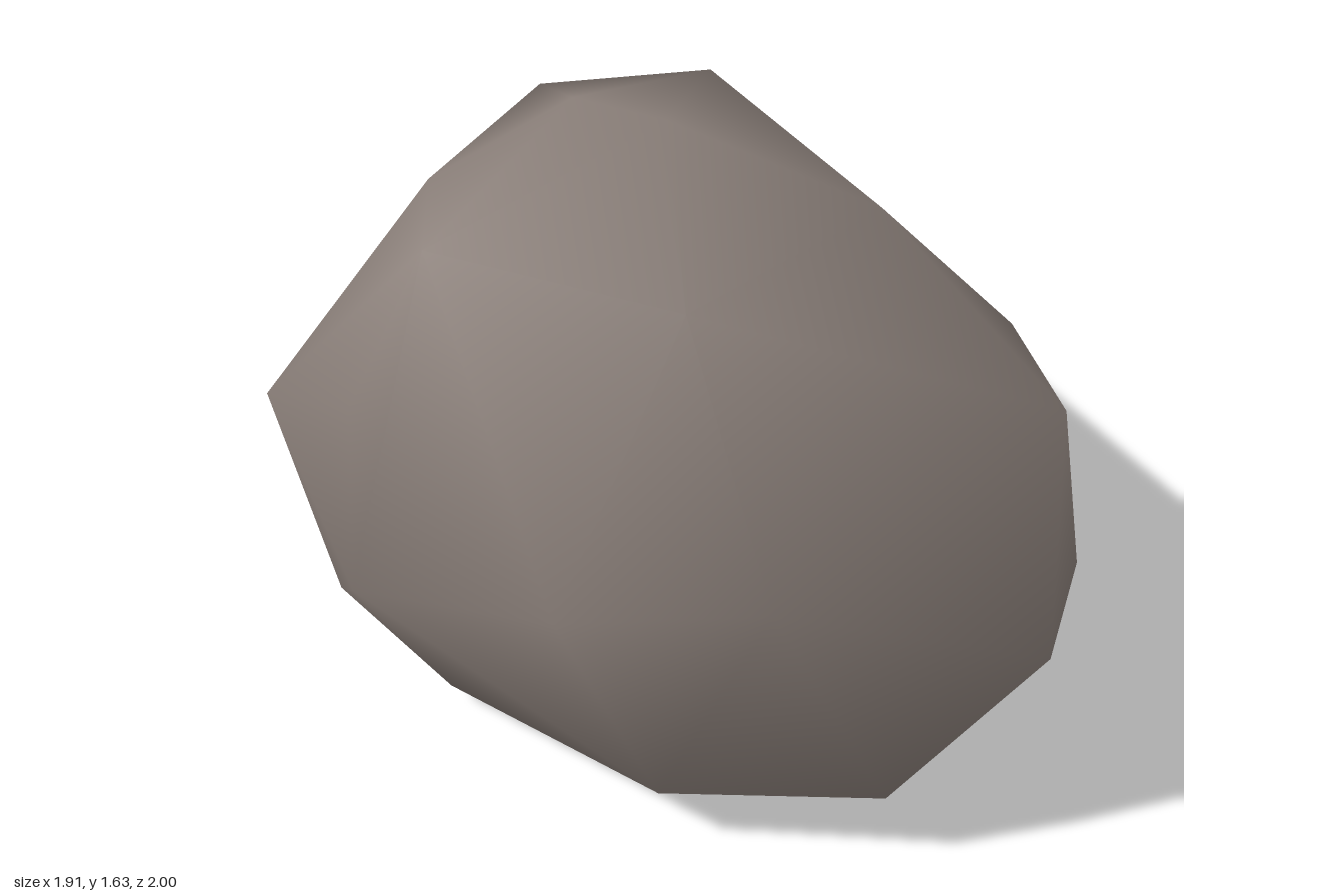
import * as THREE from 'three';
import { ConvexGeometry } from 'three/addons/geometries/ConvexGeometry.js';
import { mergeVertices } from 'three/addons/utils/BufferGeometryUtils.js';

export function createModel() {
  const group = new THREE.Group();
  group.name = 'boulder';

  const stone = new THREE.MeshStandardMaterial({ color: 0x8a7f79 });
  stone.name = 'warm grey stone';

  // corners of the boulder, grouped by height
  const crown = [
    [-0.05, 1.627, 0.13], [0.06, 1.525, 0.71], [-0.5, 1.55, 0.58],
    [0.43, 1.41, 0.09], [-0.05, 1.26, -0.78], [-0.35, 1.38, -0.38],
  ];
  const shoulder = [
    [0.86, 1.12, 0.41], [0.75, 1.075, 0.03], [0.27, 1.0, 1.0], [-0.19, 0.9, 0.97],
    [-0.96, 0.98, 0.37], [-0.555, 1.065, -1.0], [0.24, 0.81, -0.785],
    [-0.72, 1.15, -0.33], [-0.7, 1.12, 0.58], [-0.89, 0.78, -0.44],
  ];
  const flank = [
    [0.865, 0.67, 0.72], [0.955, 0.53, 0.24], [0.62, 0.655, -0.28], [-0.7, 0.7, 0.71],
    [-0.78, 0.45, -0.64], [0.13, 0.42, -0.945], [-0.87, 0.32, 0.31], [0.7, 0.315, -0.11],
  ];
  const foot = [
    [0.74, 0.24, 0.35], [0.53, 0.25, 0.79], [0, 0.2, 0.79], [-0.83, 0.2, -0.21],
    [-0.35, 0.2, -0.88], [0.17, 0.085, -0.48], [-0.59, 0.072, 0.38],
    [-0.51, 0.035, -0.34], [0, 0, 0.48],
  ];
  const corners = [...crown, ...shoulder, ...flank, ...foot].map((p) => new THREE.Vector3(...p));

  // wrap the corners, then share vertices so the shading is smooth
  let geometry = new ConvexGeometry(corners);
  geometry.deleteAttribute('normal');
  geometry = mergeVertices(geometry, 1e-4);
  geometry.computeVertexNormals();

  const rock = new THREE.Mesh(geometry, stone);
  rock.name = 'rock';
  group.add(rock);
  return group;
}
